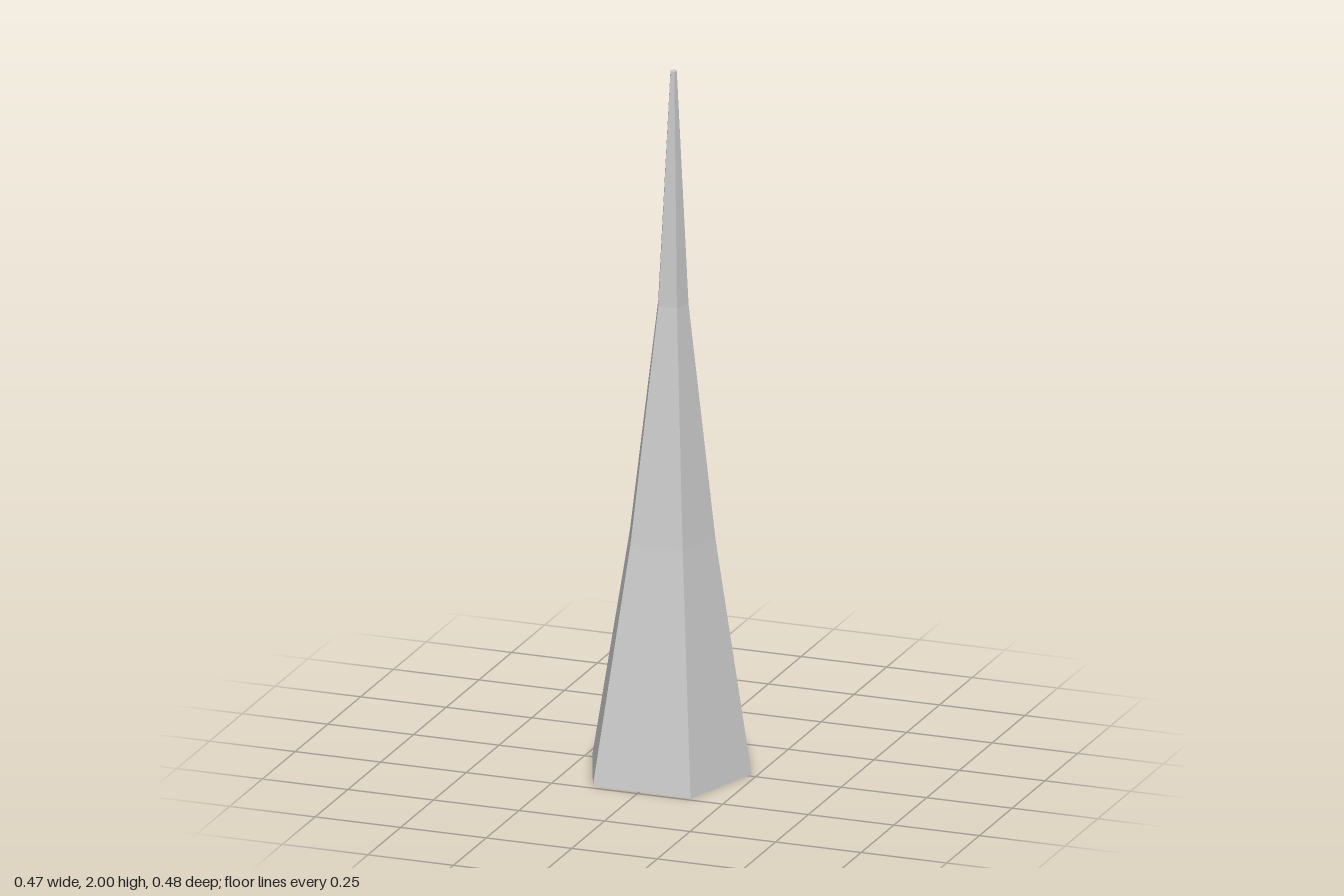
import * as THREE from 'three';

// Uneven corner radii of the base, every 60 degrees from +x towards +z
const CORNER_RADII = [0.228, 0.2915, 0.284, 0.238, 0.26, 0.255];
// Taper of the four rings, from the ground to the tip
const TAPER = [1, 0.535, 0.19, 0.04];
const HEIGHT = 2;

// Tapering six-sided spike, shaped from a unit cylinder
function spikeGeometry() {
  const geometry = new THREE.CylinderGeometry(1, 1, HEIGHT, 6, 3, false, Math.PI / 2);
  geometry.translate(0, HEIGHT / 2, 0);
  const position = geometry.attributes.position;
  for (let i = 0; i < position.count; i++) {
    const x = position.getX(i), y = position.getY(i), z = position.getZ(i);
    const corner = (Math.round(Math.atan2(z, x) / (Math.PI / 3)) + 6) % 6;
    const ring = Math.round((y / HEIGHT) * 3);
    const scale = CORNER_RADII[corner] * TAPER[ring];
    position.setXYZ(i, x * scale, y, z * scale);
  }
  geometry.translate(0.005, 0, -0.015);
  geometry.computeVertexNormals();
  return geometry;
}

export function createModel() {
  const model = new THREE.Group();
  model.name = 'spike';
  const material = new THREE.MeshStandardMaterial({ color: 0xcccccc, flatShading: true });
  const shaft = new THREE.Mesh(spikeGeometry(), material);
  shaft.name = 'spikeShaft';
  model.add(shaft);
  return model;
}
